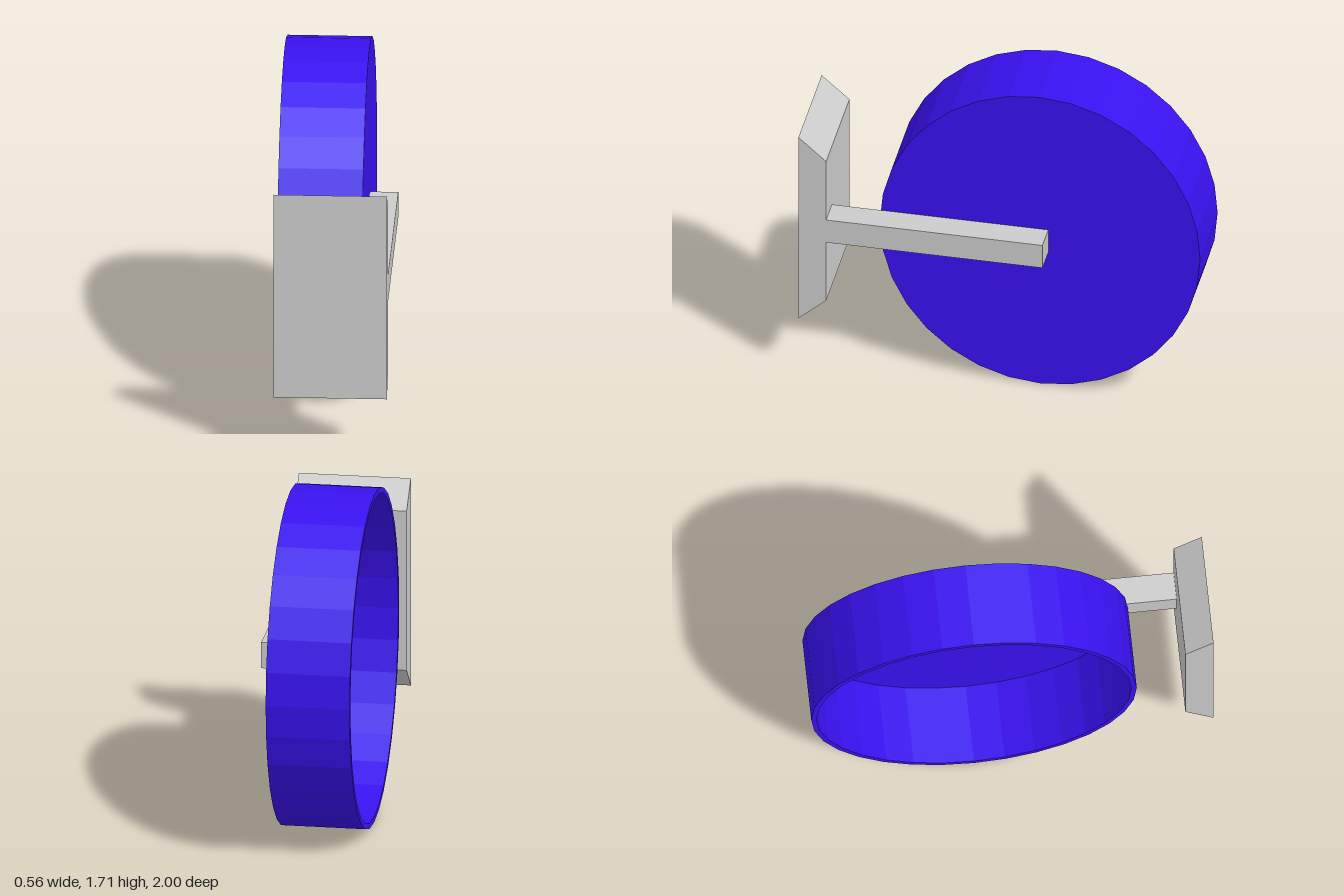
import * as THREE from 'three';

const grey = new THREE.MeshStandardMaterial({ color: 0xcccccc, flatShading: true });
const blue = new THREE.MeshStandardMaterial({ color: 0x3a11f0, flatShading: true });

// Box given by its minimum and maximum corners
function box(name, min, max) {
  const size = max.map((v, i) => v - min[i]);
  const mesh = new THREE.Mesh(new THREE.BoxGeometry(...size), grey);
  mesh.position.set(...max.map((v, i) => (v + min[i]) / 2));
  mesh.name = name;
  return mesh;
}

export function createModel() {
  const group = new THREE.Group();
  group.name = 'wheelOnBracket';

  // Hollow drum, closed on the arm side and open on the other, slightly taller than deep
  const outer = 0.853, inner = 0.825;
  const profile = [
    [0, 0.115], [inner, 0.115], [inner, -0.28],
    [outer, -0.28], [outer, 0.14], [0, 0.14],
  ].map(([r, h]) => new THREE.Vector2(r, h));
  const drumGeometry = new THREE.LatheGeometry(profile, 32);
  drumGeometry.rotateZ(-Math.PI / 2).scale(1, 1, 0.948);
  const drum = new THREE.Mesh(drumGeometry, blue);
  drum.position.set(0, outer, -0.19);
  drum.name = 'drum';
  group.add(drum);

  // Mounting plate with top and bottom bevelled toward the back
  const plateShape = new THREE.Shape([
    [-1, 0.315], [-0.86, 0.44], [-0.86, 1.27], [-1, 1.395],
  ].map(([x, y]) => new THREE.Vector2(x, y)));
  const plateGeometry = new THREE.ExtrudeGeometry(plateShape, { depth: 0.56, bevelEnabled: false });
  plateGeometry.rotateY(Math.PI / 2).translate(-0.28, 0, 0);
  const plate = new THREE.Mesh(plateGeometry, grey);
  plate.name = 'mountingPlate';
  group.add(plate);

  // Arm along the closed face, and the axle stub passing through it
  group.add(box('arm', [0.14, 0.787, -0.232], [0.28, 0.921, 0.86]));
  group.add(box('axleStub', [0.04, 0.787, -0.232], [0.14, 0.921, -0.1]));

  return group;
}
